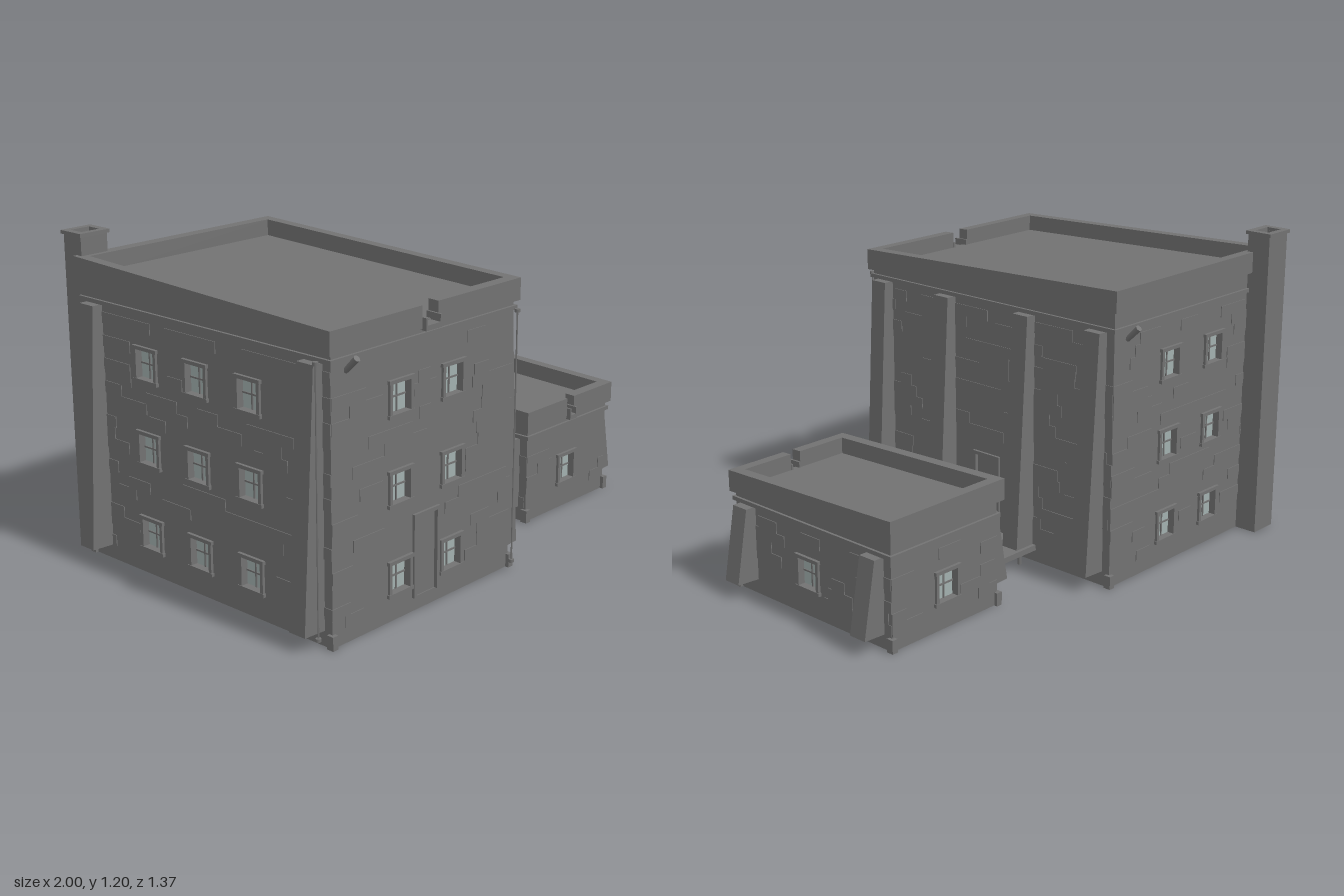
import * as THREE from 'three';
import { mergeGeometries } from 'three/addons/utils/BufferGeometryUtils.js';

const SLOPE = 0.036; // roofs fall gently toward the front
const WALL = 0.06; // wall thickness

export function createModel() {
  const model = new THREE.Group();
  model.name = 'stoneBuildings';
  const stone = new THREE.MeshStandardMaterial({ color: 0x727272 });
  stone.name = 'stone grey';
  const glass = new THREE.MeshStandardMaterial({ color: 0xa2b0ae });
  glass.name = 'window glass';

  let seed = 7;
  const rnd = () => (seed = (seed * 16807) % 2147483647) / 2147483647;

  const add = (parent, name, geo, mat = stone) => {
    const mesh = new THREE.Mesh(geo, mat);
    mesh.name = name;
    parent.add(mesh);
    return mesh;
  };

  // Box from bounds; with a slope its height follows the roof pitch
  const block = (x0, x1, y0, y1, z0, z1, slope = 0) => {
    const g = new THREE.BoxGeometry(x1 - x0, y1 - y0, z1 - z0);
    g.translate((x0 + x1) / 2, (y0 + y1) / 2, (z0 + z1) / 2);
    if (slope) {
      const p = g.attributes.position;
      for (let i = 0; i < p.count; i++) p.setY(i, p.getY(i) - slope * p.getZ(i));
      g.computeVertexNormals();
    }
    return g;
  };

  // Rectangular band, optionally with a gap [x0, x1] in its front run
  const ring = (x0, x1, z0, z1, t, y0, y1, slope = 0, gap = null) => {
    const front = gap ? [[x0, gap[0]], [gap[1], x1]] : [[x0, x1]];
    return mergeGeometries([
      block(x0, x1, y0, y1, z0, z0 + t, slope),
      block(x0, x0 + t, y0, y1, z0 + t, z1 - t, slope),
      block(x1 - t, x1, y0, y1, z0 + t, z1 - t, slope),
      ...front.map(([a, b]) => block(a, b, y0, y1, z1 - t, z1, slope)),
    ]);
  };

  // Window: stone surround with wider lintel and sill, recessed glass, crossed bars
  const addWindow = (wall, u, y, w, h) => {
    const win = new THREE.Group();
    win.name = 'window';
    win.position.set(u, y, 0);
    const a = w / 2, b = h / 2, e = 0.013;
    add(win, 'windowSurround', mergeGeometries([
      block(-a - e, -a, -b, b, -0.01, 0.01),
      block(a, a + e, -b, b, -0.01, 0.01),
      block(-a - e - 0.004, a + e + 0.004, b, b + e, -0.01, 0.012),
      block(-a - e - 0.004, a + e + 0.004, -b - e, -b, -0.01, 0.012),
    ]));
    add(win, 'windowBars', mergeGeometries([
      block(-0.003, 0.003, -b, b, -0.025, -0.014),
      block(-a, a, -0.003, 0.003, -0.025, -0.014),
    ]));
    add(win, 'windowGlass', block(-a, a, -b, b, -0.024, -0.018), glass);
    wall.add(win);
  };

  // Door: surround and recessed leaf
  const addDoor = (wall, u, y, w, h) => {
    const door = new THREE.Group();
    door.name = 'door';
    door.position.set(u, y, 0);
    const a = w / 2, b = h / 2;
    add(door, 'doorSurround', mergeGeometries([
      block(-a - 0.014, -a, -b, b + 0.014, -0.01, 0.01),
      block(a, a + 0.014, -b, b + 0.014, -0.01, 0.01),
      block(-a, a, b, b + 0.014, -0.01, 0.01),
    ]));
    add(door, 'doorLeaf', block(-a, a, -b, b, -0.02, -0.004));
    wall.add(door);
  };

  // One wall facing local +z, with cut openings and slightly raised stones
  const addWall = (parent, name, angle, cx, cz, length, isSide, roofY, openings) => {
    const wall = new THREE.Group();
    wall.name = name;
    wall.position.set(cx, 0, cz);
    wall.rotation.y = angle;
    const top = (u) => roofY - SLOPE * (cz - Math.sin(angle) * u);
    const half = length / 2 - (isSide ? WALL : 0);
    const shape = new THREE.Shape([
      new THREE.Vector2(-half, 0), new THREE.Vector2(half, 0),
      new THREE.Vector2(half, top(half)), new THREE.Vector2(-half, top(-half)),
    ]);
    for (const [u, y, w, h, kind] of openings) {
      const a = w / 2, b = h / 2;
      shape.holes.push(new THREE.Path([
        new THREE.Vector2(u - a, y - b), new THREE.Vector2(u - a, y + b),
        new THREE.Vector2(u + a, y + b), new THREE.Vector2(u + a, y - b),
      ]));
      (kind === 'door' ? addDoor : addWindow)(wall, u, y, w, h);
    }
    const geo = new THREE.ExtrudeGeometry(shape, { depth: WALL, bevelEnabled: false });
    add(wall, 'wallPanel', geo.translate(0, 0, -WALL));

    const stones = [];
    const course = 0.042;
    for (let y = 0.055; y + course < roofY - 0.05; y += course) {
      let u = -length / 2;
      while (u < length / 2 - 0.03) {
        const end = Math.min(u + 0.06 + rnd() * 0.1, length / 2);
        const clear = openings.every(([ou, oy, w, h]) =>
          end < ou - w / 2 - 0.02 || u > ou + w / 2 + 0.02 ||
          y + course < oy - h / 2 - 0.02 || y > oy + h / 2 + 0.02);
        if (clear && rnd() < 0.45) stones.push(block(u, end, y, y + course, -0.003, 0.003));
        u = end;
      }
    }
    add(wall, 'raisedStones', mergeGeometries(stones));
    parent.add(wall);
  };

  // Leaning buttress on the side s of a wall at x
  const addButtress = (parent, x, s, z, top) => {
    const shape = new THREE.Shape([
      new THREE.Vector2(x - s * 0.01, 0.055), new THREE.Vector2(x + s * 0.093, 0.06),
      new THREE.Vector2(x + s * 0.042, top), new THREE.Vector2(x - s * 0.01, top),
    ]);
    const geo = new THREE.ExtrudeGeometry(shape, { depth: 0.072, bevelEnabled: false });
    add(parent, 'buttress', geo.translate(0, 0, z - 0.036));
  };

  // A whole flat-roofed block
  const addBuilding = (name, { x0, x1, z0, z1, roofY, cornice, spout, holes, left, right }) => {
    const b = new THREE.Group();
    b.name = name;
    const cx = (x0 + x1) / 2, cz = (z0 + z1) / 2;
    const local = (list, f) => (list || []).map(([p, ...rest]) => [f(p), ...rest]);
    addWall(b, 'frontWall', 0, cx, z1, x1 - x0, false, roofY, local(holes.front, (p) => p - cx));
    addWall(b, 'backWall', Math.PI, cx, z0, x1 - x0, false, roofY, local(holes.back, (p) => cx - p));
    addWall(b, 'leftWall', Math.PI / 2, x1, cz, z1 - z0, true, roofY, local(holes.left, (p) => cz - p));
    addWall(b, 'rightWall', -Math.PI / 2, x0, cz, z1 - z0, true, roofY, local(holes.right, (p) => p - cz));

    add(b, 'cornice', ring(x0 - 0.01, x1 + 0.01, z0 - 0.01, z1 + 0.01, 0.03, cornice, cornice + 0.015));
    add(b, 'parapet', ring(x0 - 0.018, x1 + 0.018, z0 - 0.02, z1 + 0.015, 0.042,
      roofY, roofY + 0.08, SLOPE, spout));
    add(b, 'roof', block(x0 + 0.01, x1 - 0.01, roofY - 0.012, roofY + 0.018, z0 + 0.01, z1 - 0.01, SLOPE));

    // drain spout through the parapet notch
    const [s0, s1] = spout;
    add(b, 'roofSpout', mergeGeometries([
      block(s0, s1, roofY - 0.004, roofY + 0.014, z1 - 0.03, z1 + 0.032, SLOPE),
      block(s0, s0 + 0.008, roofY, roofY + 0.04, z1 - 0.03, z1 + 0.032, SLOPE),
      block(s1 - 0.008, s1, roofY, roofY + 0.04, z1 - 0.03, z1 + 0.032, SLOPE),
    ]));

    // footing stones at the corners
    for (const x of [x0, x1]) for (const z of [z0, z1])
      add(b, 'cornerFooting', block(x - 0.012, x + 0.012, 0, 0.05, z - 0.014, z + 0.014));

    for (const z of left) addButtress(b, x1, 1, z, cornice);
    for (const z of right) addButtress(b, x0, -1, z, cornice);
    model.add(b);
    return b;
  };

  const W = 0.09, H = 0.105;
  const rows = [0.155, 0.475, 0.785];
  const grid = (columns) => columns.flatMap((p) => rows.map((y) => [p, y, W, H, 'window']));

  const tower = addBuilding('mainBuilding', {
    x0: -0.905, x1: 0.012, z0: -0.585, z1: 0.63, roofY: 1.018, cornice: 0.963,
    spout: [-0.49, -0.41],
    holes: {
      front: [...grid([-0.58, -0.315]), [-0.448, 0.195, 0.105, 0.29, 'door']],
      back: grid([-0.58, -0.315]),
      right: grid([-0.25, 0.005, 0.26]),
      left: [[0.02, 0.215, 0.105, 0.29, 'door']],
    },
    left: [0.56, 0.22, -0.18, -0.515], right: [0.56, -0.515],
  });

  addBuilding('annex', {
    x0: 0.393, x1: 0.907, z0: -0.38, z1: 0.42, roofY: 0.386, cornice: 0.336,
    spout: [0.625, 0.67],
    holes: {
      front: [[0.645, 0.16, W, H, 'window']],
      back: [[0.645, 0.16, W, H, 'window']],
      left: [[0.035, 0.16, W, H, 'window']],
      right: [[0.02, 0.185, 0.105, 0.23, 'door']],
    },
    left: [0.35, -0.31], right: [0.35, -0.31],
  });

  // hollow chimney on the back corner
  add(tower, 'chimney', ring(-0.905, -0.788, -0.675, -0.58, 0.02, 0, 1.187));
  add(tower, 'chimneyCap', ring(-0.912, -0.781, -0.683, -0.573, 0.026, 1.187, 1.2));

  // angled wall lamps under the eaves
  for (const [x, z, s] of [[-0.835, 0.652, 1], [-0.06, -0.61, -1]]) {
    const lamp = add(tower, 'wallLamp', new THREE.CylinderGeometry(0.012, 0.01, 0.07, 8));
    lamp.position.set(x, 0.952, z);
    lamp.rotation.x = s * Math.PI / 4;
  }

  // slim downpipes with end fittings
  for (const [x, z] of [[-0.945, 0.605], [-0.015, 0.668]]) {
    add(tower, 'downpipe', new THREE.CylinderGeometry(0.003, 0.003, 0.93, 6)).position.set(x, 0.505, z);
    for (const y of [0.04, 0.97])
      add(tower, 'pipeFitting', new THREE.CylinderGeometry(0.01, 0.01, 0.012, 8)).position.set(x, y, z);
  }

  // raised walkway between the blocks, with its step and short posts
  const walkway = new THREE.Group();
  walkway.name = 'walkway';
  add(walkway, 'deck', block(0.005, 0.4, 0.046, 0.068, -0.23, 0.265));
  add(walkway, 'step', block(0.145, 0.265, 0.022, 0.036, 0.255, 0.402));
  for (const x of [0.07, 0.205, 0.34]) for (const z of [-0.2, 0.02, 0.235])
    add(walkway, 'deckPost', new THREE.CylinderGeometry(0.008, 0.008, 0.05, 8)).position.set(x, 0.025, z);
  for (const x of [0.165, 0.245])
    add(walkway, 'stepPost', new THREE.CylinderGeometry(0.006, 0.006, 0.026, 8)).position.set(x, 0.013, 0.38);
  model.add(walkway);

  return model;
}
